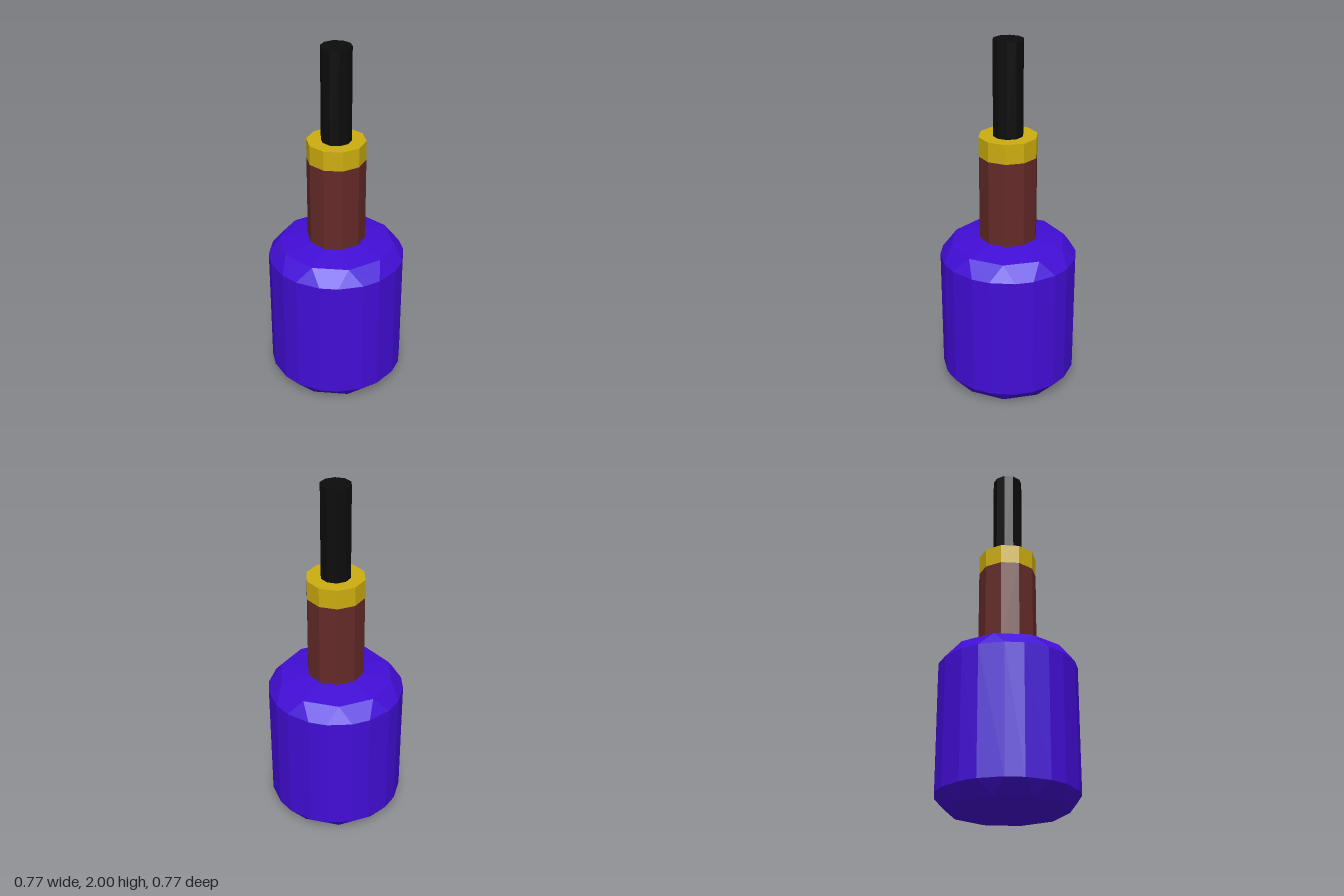
import * as THREE from 'three';

const SIDES = 10;
const DEG = Math.PI / 180;
const TURN = 10; // angle of the first corner, from +x towards +z

const material = (color) => new THREE.MeshStandardMaterial({ color, flatShading: true });

// Ring of 20 points in pairs; spread 0 merges each pair into one corner
function ring(y, radius, spread) {
  const points = [];
  for (let i = 0; i < SIDES; i++) {
    for (const side of [-1, 1]) {
      const a = (TURN + i * 360 / SIDES + side * spread) * DEG;
      points.push(new THREE.Vector3(radius * Math.cos(a), y, radius * Math.sin(a)));
    }
  }
  return points;
}

// Skin between successive rings, leaving out collapsed triangles
function loft(rings) {
  const positions = [];
  const triangle = (...p) => {
    const area = p[1].clone().sub(p[0]).cross(p[2].clone().sub(p[0])).length();
    if (area > 1e-7) p.forEach((v) => positions.push(v.x, v.y, v.z));
  };
  for (let r = 0; r < rings.length - 1; r++) {
    const low = rings[r], high = rings[r + 1];
    for (let i = 0; i < low.length; i++) {
      const j = (i + 1) % low.length;
      triangle(low[i], high[i], high[j]);
      triangle(low[i], high[j], low[j]);
    }
  }
  const geometry = new THREE.BufferGeometry();
  geometry.setAttribute('position', new THREE.Float32BufferAttribute(positions, 3));
  geometry.computeVertexNormals();
  return geometry;
}

// Ten-sided upright prism between two heights
function prism(name, radius, bottom, top, color) {
  const geometry = new THREE.CylinderGeometry(
    radius, radius, top - bottom, SIDES, 1, false, (90 - TURN) * DEG);
  const mesh = new THREE.Mesh(geometry, material(color));
  mesh.position.y = (bottom + top) / 2;
  mesh.name = name;
  return mesh;
}

export function createModel() {
  const model = new THREE.Group();
  model.name = 'bottle';

  // Body: ten-sided foot and shoulder, bevelled to twenty sides between
  const body = new THREE.Mesh(loft([
    ring(0, 0, 0),
    ring(0, 0.322, 0),
    ring(0.075, 0.383, 10.4),
    ring(0.78, 0.383, 10.4),
    ring(0.86, 0.322, 0),
    ring(0.89, 0.162, 0),
    ring(0.89, 0, 0),
  ]), material(0x420dd6));
  body.name = 'body';
  model.add(body);

  // Stacked upper parts
  model.add(prism('neck', 0.162, 0.89, 1.37, 0x642a28));
  model.add(prism('collar', 0.162, 1.37, 1.48, 0xccad0f));
  model.add(prism('stem', 0.083, 1.48, 2, 0x0c0c0c));
  return model;
}
